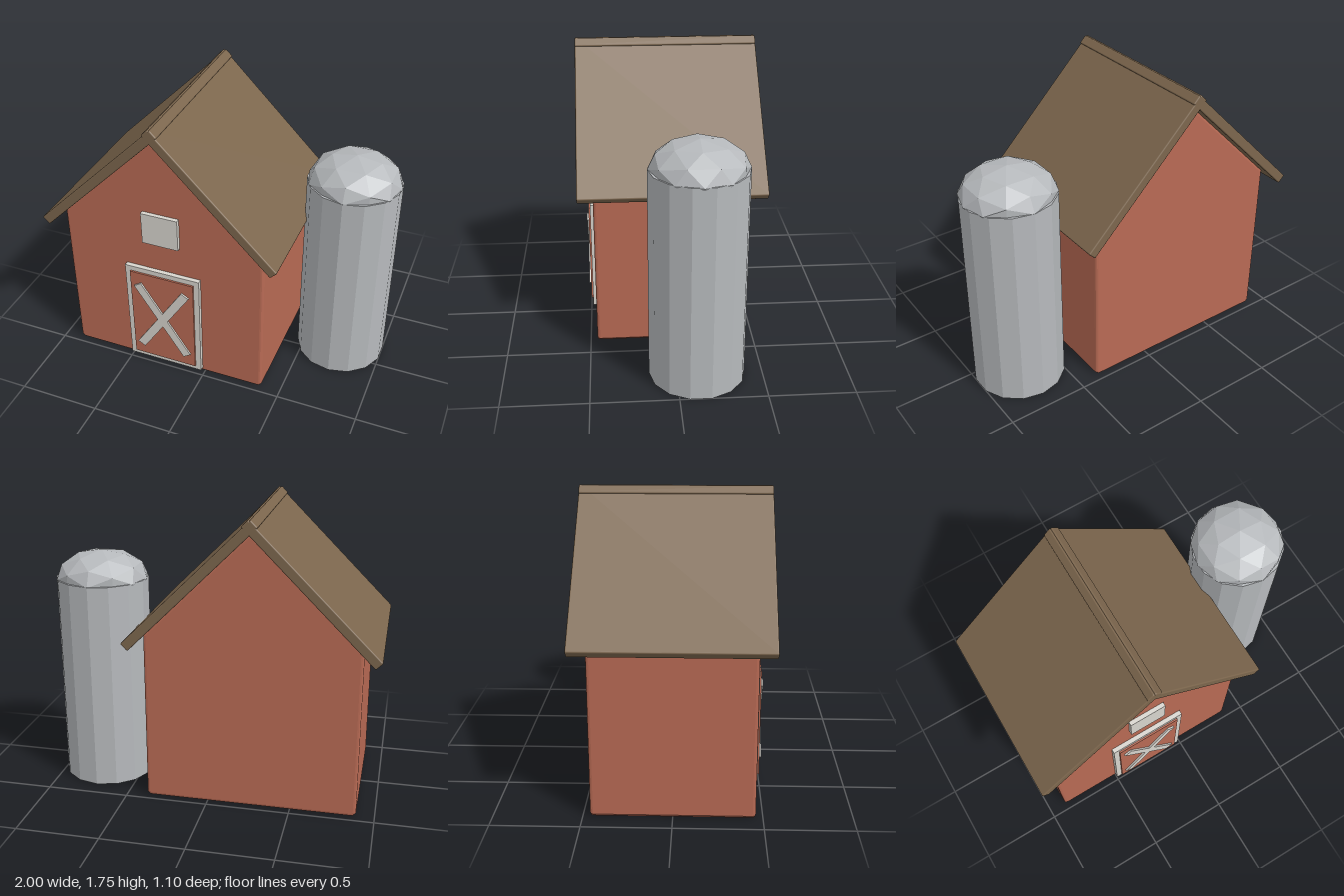
import * as THREE from 'three';
import { RoundedBoxGeometry } from 'three/addons/geometries/RoundedBoxGeometry.js';

const paint = (color, flatShading = false) => new THREE.MeshStandardMaterial({ color, flatShading });

export function createModel() {
  const model = new THREE.Group();
  const red = paint(0xb86a54);
  const brown = paint(0x7c664d);
  const trim = paint(0xd8d5ce);
  const steel = paint(0xb6b9bc, true);

  const add = (parent, name, geometry, material, x = 0, y = 0, z = 0) => {
    const mesh = new THREE.Mesh(geometry, material);
    mesh.name = name;
    mesh.position.set(x, y, z);
    parent.add(mesh);
    return mesh;
  };

  // Barn, centred on its own ridge line
  const barn = new THREE.Group();
  barn.name = 'barn';
  barn.position.x = -0.257;
  model.add(barn);

  // Gabled body: a bevelled extrusion of the end wall
  const bevel = 0.018, half = 0.635 - bevel, eave = 1.03, c = 0.008;
  const wall = new THREE.Shape([
    [-half + c, bevel], [half - c, bevel], [half, bevel + c], [half, eave],
    [0, eave + half], [-half, eave], [-half, bevel + c],
  ].map(([x, y]) => new THREE.Vector2(x, y)));
  const depth = 0.92 - 2 * bevel;
  const body = new THREE.ExtrudeGeometry(wall, {
    depth, bevelThickness: bevel, bevelSize: bevel, bevelSegments: 3,
  });
  body.translate(0, 0, -depth / 2);
  add(barn, 'barnBody', body, red);

  // Two roof slabs at 45 degrees, each passing just beyond the ridge
  const length = 1.06, thick = 0.058, past = 0.009, ridge = 1.746;
  for (const side of [-1, 1]) {
    const slope = new THREE.Group();
    slope.name = side < 0 ? 'rightRoof' : 'leftRoof';
    slope.position.y = ridge;
    slope.rotation.z = -side * Math.PI / 4;
    barn.add(slope);
    add(slope, 'roofSlab', new RoundedBoxGeometry(length, thick, 1.1, 2, 0.008), brown,
      side * (length / 2 - past), -thick / 2, 0);
  }

  // Barn door: pale backing, red panel and crossed braces
  const door = new THREE.Group();
  door.name = 'door';
  door.position.y = 0.385;
  barn.add(door);
  add(door, 'doorFrame', new THREE.BoxGeometry(0.484, 0.716, 0.04), trim, 0, 0, 0.468);
  add(door, 'doorPanel', new THREE.BoxGeometry(0.414, 0.65, 0.03), red, 0, 0, 0.484);
  for (const side of [-1, 1]) {
    const brace = add(door, 'doorBrace', new THREE.BoxGeometry(0.577, 0.055, 0.02), trim, 0, 0, 0.5);
    brace.rotation.z = side * 0.995;
  }

  // Loft hatch
  add(barn, 'loftWindow', new THREE.BoxGeometry(0.23, 0.208, 0.04), trim, 0, 1.046, 0.466);

  // Silo with a squashed faceted dome
  const silo = new THREE.Group();
  silo.name = 'silo';
  silo.position.set(0.727, 0, -0.12);
  model.add(silo);
  add(silo, 'siloTower', new THREE.CylinderGeometry(0.28, 0.28, 1.28, 14), steel, 0, 0.64, 0);
  const dome = add(silo, 'siloDome', new THREE.IcosahedronGeometry(0.28, 1), steel, 0, 1.277, 0);
  dome.scale.y = 0.6;

  return model;
}
